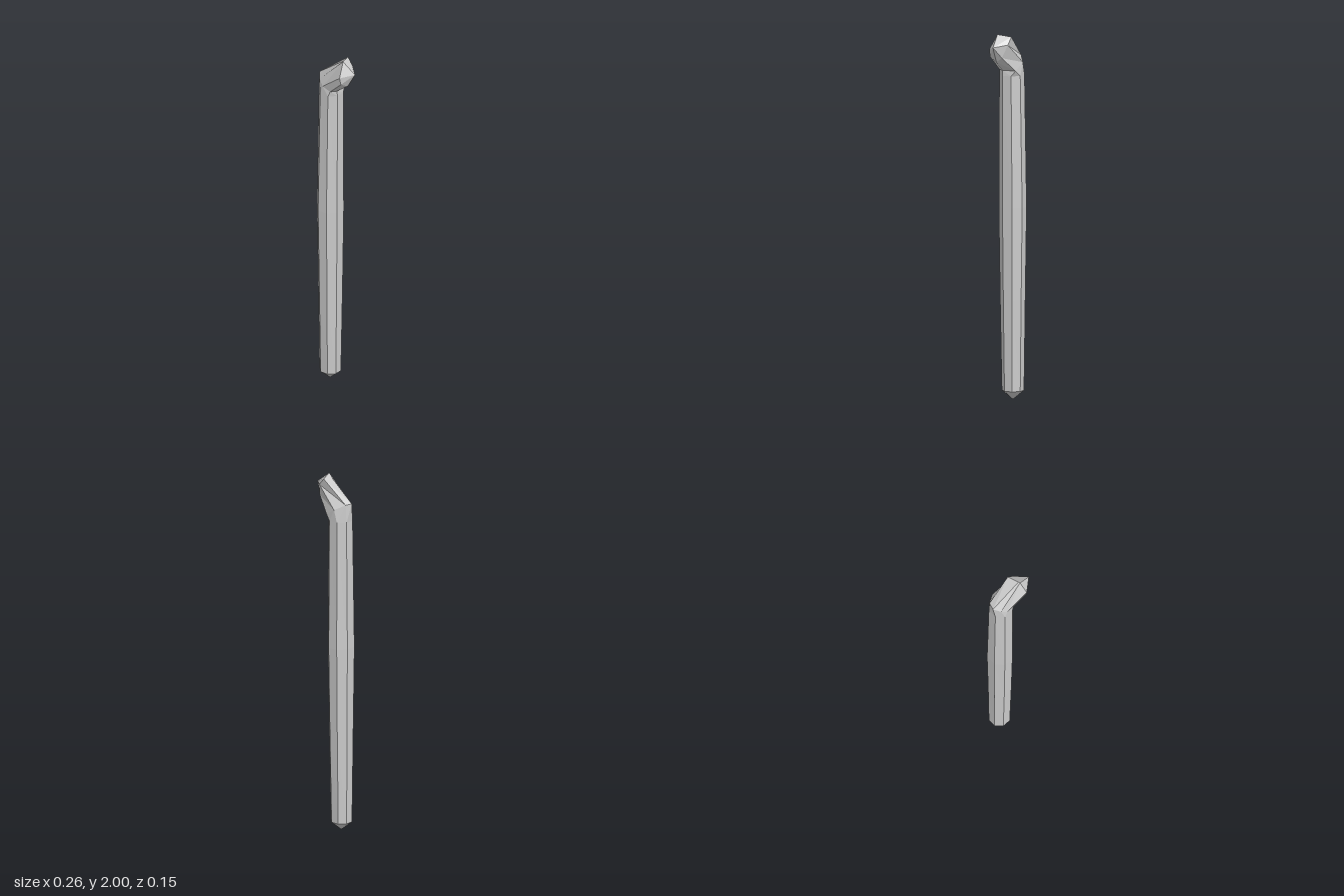
import * as THREE from 'three';

const SIDES = 8;

// Horizontal eight-sided shaft section, starting at +x and turning towards +z
function shaftRing(y, cx, rx, rz) {
  return Array.from({ length: SIDES }, (_, i) => {
    const a = (i / SIDES) * Math.PI * 2 + 0.12;
    return [cx + Math.cos(a) * rx, y, Math.sin(a) * rz];
  });
}

// Faceted skin through the sections, closed by a point at each end
function loft(rings, start, end) {
  const pos = [];
  const tri = (a, b, c) => pos.push(...a, ...b, ...c);
  const last = rings[rings.length - 1];
  for (let i = 0; i < SIDES; i++) {
    const j = (i + 1) % SIDES;
    tri(start, rings[0][i], rings[0][j]);
    for (let k = 0; k < rings.length - 1; k++) {
      const lo = rings[k], hi = rings[k + 1];
      tri(lo[i], hi[i], hi[j]);
      tri(lo[i], hi[j], lo[j]);
    }
    tri(end, last[j], last[i]);
  }
  const geo = new THREE.BufferGeometry();
  geo.setAttribute('position', new THREE.Float32BufferAttribute(pos, 3));
  geo.computeVertexNormals();
  return geo;
}

export function createModel() {
  const group = new THREE.Group();
  group.name = 'bentPeg';

  // Slanted section where the shaft bends into the head
  const bend = [
    [0.015, 1.80, 0.01], [0.0, 1.80, 0.045], [-0.045, 1.82, 0.062], [-0.08, 1.85, 0.055],
    [-0.115, 1.87, 0.03], [-0.115, 1.87, -0.01], [-0.075, 1.84, -0.058], [-0.01, 1.80, -0.063],
  ];
  // Irregular end of the head
  const head = [
    [0.085, 1.855, -0.01], [0.085, 1.88, 0.036], [0.082, 1.92, 0.043], [0.062, 2.0, 0.004],
    [0.056, 2.0, -0.004], [0.02, 1.99, -0.06], [0.055, 1.95, -0.065], [0.08, 1.88, -0.045],
  ];

  const rings = [
    shaftRing(0.05, -0.06, 0.061, 0.059),
    shaftRing(0.55, -0.058, 0.067, 0.068),
    shaftRing(1.05, -0.058, 0.073, 0.076),
    shaftRing(1.77, -0.052, 0.069, 0.067),
    bend,
    head,
  ];
  const material = new THREE.MeshStandardMaterial({ color: 0xcccccc, flatShading: true });
  const peg = new THREE.Mesh(loft(rings, [-0.06, 0, 0], [0.13, 1.94, -0.025]), material);
  peg.name = 'shaftWithBentHead';
  group.add(peg);
  return group;
}
